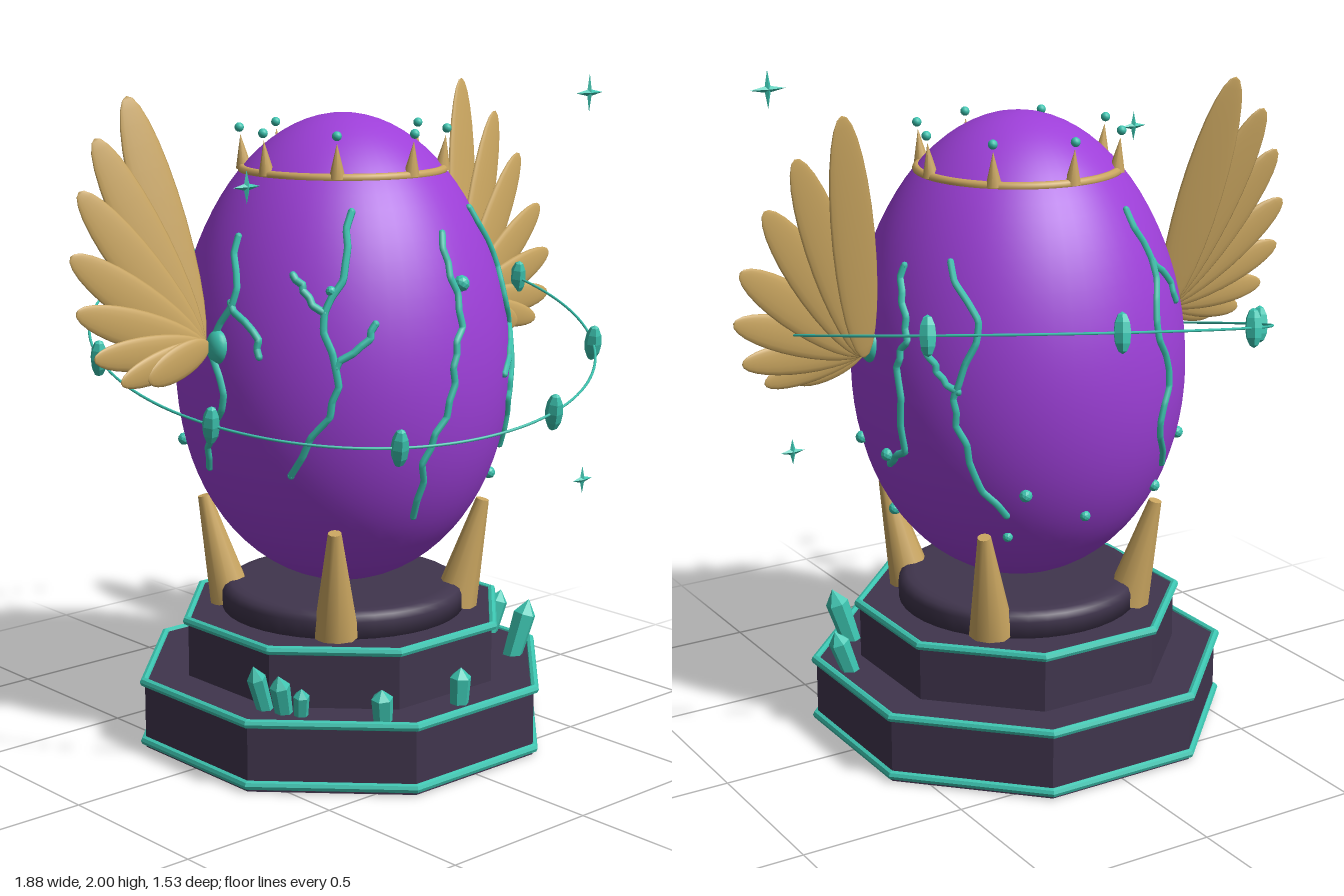
import * as THREE from 'three';

const mat = (name, color, extra = {}) => {
  const m = new THREE.MeshStandardMaterial({ color, ...extra });
  m.name = name;
  return m;
};

export function createModel() {
  const root = new THREE.Group();
  root.name = 'wingedEgg';
  const purple = mat('purple shell', 0x9d3fd8);
  const gold = mat('gold', 0xcaa660);
  const stone = mat('dark stone', 0x40354d, { flatShading: true });
  const smoothStone = mat('smooth stone', 0x40354d);
  const teal = mat('teal', 0x3cc4b0);
  const gem = mat('faceted teal', 0x3cc4b0, { flatShading: true });

  const add = (name, geo, material, parent = root) => {
    const m = new THREE.Mesh(geo, material);
    m.name = name;
    parent.add(m);
    return m;
  };
  const V = (x, y, z) => new THREE.Vector3(x, y, z);
  const UP = V(0, 1, 0);
  const rad = THREE.MathUtils.degToRad;
  // Stand a mesh at a point with its y axis along a direction
  const aim = (m, p, dir) => {
    m.position.copy(p);
    m.quaternion.setFromUnitVectors(UP, dir.clone().normalize());
    return m;
  };

  // Egg profile: radius at a height, and a surface point at azimuth (0 = front, 90 = +x)
  const MID = 1.185, HALF = 0.705;
  const ring = (c) => 0.5 * Math.sqrt(Math.max(0, 1 - c * c)) * (1 - 0.07 * c);
  const onEgg = (az, y, lift = 0) => {
    const r = ring((y - MID) / HALF) + lift;
    return V(Math.sin(rad(az)) * r, y, Math.cos(rad(az)) * r);
  };
  const profile = [];
  for (let i = 0; i <= 40; i++) {
    const c = -Math.cos((i / 40) * Math.PI);
    profile.push(new THREE.Vector2(ring(c), MID + HALF * c));
  }
  add('egg', new THREE.LatheGeometry(profile, 56), purple);

  // Octagonal plinth tiers with teal trim
  const K = 1 / Math.cos(Math.PI / 8);
  const tier = (name, apothem, y0, y1) => {
    const g = new THREE.CylinderGeometry(apothem * K, apothem * K, y1 - y0, 8).rotateY(Math.PI / 8);
    add(name, g, stone).position.y = (y0 + y1) / 2;
  };
  const trim = (apothem, y) => {
    const g = new THREE.TorusGeometry(apothem * K, 0.014, 8, 8).rotateX(Math.PI / 2).rotateY(Math.PI / 8);
    add('plinthTrim', g, gem).position.y = y;
  };
  tier('lowerTier', 0.582, 0, 0.21);
  tier('upperTier', 0.455, 0.2, 0.39);
  trim(0.584, 0.02);
  trim(0.584, 0.205);
  trim(0.458, 0.383);
  const disc = [[0, 0.38], [0.37, 0.38], [0.37, 0.44], [0.362, 0.458], [0.345, 0.468], [0.32, 0.47], [0, 0.47]];
  add('cushion', new THREE.LatheGeometry(disc.map((p) => new THREE.Vector2(...p)), 40), smoothStone);

  // Four claws on the diagonals
  for (const az of [45, 135, 225, 315]) {
    const s = Math.sin(rad(az)), c = Math.cos(rad(az));
    const a = V(s * 0.345, 0.4, c * 0.345), b = V(s * 0.425, 0.725, c * 0.425);
    const claw = add('claw', new THREE.CylinderGeometry(0.02, 0.068, a.distanceTo(b), 10), gold);
    aim(claw, a.clone().lerp(b, 0.5), b.clone().sub(a));
  }

  // Crown with spikes and beads
  add('crownBand', new THREE.TorusGeometry(0.296, 0.014, 10, 56).rotateX(Math.PI / 2), gold).position.y = 1.725;
  for (let i = 0; i < 8; i++) {
    const a = (i * Math.PI) / 4, s = Math.sin(a), c = Math.cos(a);
    const spike = add('crownSpike', new THREE.ConeGeometry(0.024, 0.1, 8), gold);
    aim(spike, V(s * 0.298, 1.775, c * 0.298), V(s * 0.1, 1, c * 0.1));
    add('crownBead', new THREE.SphereGeometry(0.014, 10, 8), teal).position.set(s * 0.306, 1.845, c * 0.306);
  }

  // Cracks: [azimuth, height] paths, each with side branches
  const cracks = [
    [[2, 1.57], [0, 1.45], [2, 1.31], [-3.5, 1.2], [-6, 1.06], [-14, 0.93], [-13, 0.76]],
    [[34, 1.62], [43, 1.48], [41, 1.35], [49, 1.26], [41, 1.13], [36, 1.05], [43, 0.9]],
    [[49, 1.26], [36, 1.2], [28, 1.14]],
    [[-38, 1.64], [-41, 1.5], [-48, 1.37], [-44, 1.21], [-46, 1.08], [-60, 0.9]],
    [[-44, 1.22], [-36, 1.28], [-31, 1.34]],
    [[-48, 1.37], [-56, 1.43], [-60, 1.47]],
    [[101, 1.5], [104, 1.4], [109, 1.3], [105, 1.22], [107, 0.97], [97, 0.91]],
    [[122, 1.53], [135, 1.38], [129, 1.2], [128, 1.08], [134, 0.92], [144, 0.8]],
    [[129, 1.18], [121, 1.23], [116, 1.29]],
    [[205, 1.64], [209, 1.5], [203, 1.33], [208, 1.18], [204, 1.03], [213, 0.88]],
    [[209, 1.5], [217, 1.44], [221, 1.36]],
    [[272, 1.56], [278, 1.42], [270, 1.27], [276, 1.12], [268, 0.98], [262, 0.88]],
    [[276, 1.38], [287, 1.31], [290, 1.24]],
  ];
  for (const path of cracks) {
    const pts = [];
    path.forEach(([az, y], i) => {
      const next = path[i + 1];
      for (let k = 0; k < (next ? 3 : 1); k++) {
        const t = k / 3, jog = k === 1 ? 1.5 * (i % 2 ? 1 : -1) : 0;
        const [az2, y2] = next || [az, y];
        pts.push(onEgg(az + (az2 - az) * t + jog, y + (y2 - y) * t, 0.003));
      }
    });
    const curve = new THREE.CatmullRomCurve3(pts, false, 'catmullrom', 0.15);
    add('crack', new THREE.TubeGeometry(curve, pts.length * 4, 0.011, 6), teal);
    add('crackEnd', new THREE.SphereGeometry(0.011, 6, 5), teal).position.copy(pts[0]);
    add('crackEnd', new THREE.SphereGeometry(0.011, 6, 5), teal).position.copy(pts[pts.length - 1]);
  }

  // Small studs set in the shell
  const studs = [[5, 1.43, 0.024], [-46, 1.43, 0.015], [44, 0.81, 0.019], [75, 0.94, 0.019], [97, 0.94, 0.02],
    [73, 0.7, 0.019], [151, 0.87, 0.019], [144, 0.72, 0.015], [215, 0.8, 0.018], [235, 0.92, 0.019], [175, 0.78, 0.016]];
  for (const [az, y, r] of studs)
    add('stud', new THREE.IcosahedronGeometry(r, 1), gem).position.copy(onEgg(az, y, 0.004));

  // Tilted orbit with nine hanging gems
  const orbitY = (x, z) => 1.235 + 0.118 * x - 0.22 * z;
  const loop = [];
  for (let i = 0; i < 72; i++) {
    const a = rad(i * 5), x = Math.cos(a) * 0.757, z = Math.sin(a) * 0.752;
    loop.push(V(x, orbitY(x, z), z));
  }
  add('orbitRing', new THREE.TubeGeometry(new THREE.CatmullRomCurve3(loop, true), 144, 0.004, 6, true), teal);
  for (let i = 0; i < 9; i++) {
    const p = loop[i * 8];
    const g = new THREE.SphereGeometry(1, 6, 6).scale(0.026, 0.057, 0.026);
    aim(add('orbitGem', g, gem), p, V(-0.118, 1, 0.22));
  }

  // Wings: fans of flattened feathers, [tip x, tip y, half width]
  const feathers = [[0.66, 1.96, 0.075], [0.79, 1.85, 0.07], [0.87, 1.71, 0.066], [0.93, 1.54, 0.062],
    [0.94, 1.39, 0.056], [0.905, 1.26, 0.05], [0.83, 1.185, 0.045], [0.74, 1.18, 0.05]];
  for (const s of [1, -1]) {
    const wing = new THREE.Group();
    wing.name = s > 0 ? 'leftWing' : 'rightWing';
    wing.position.set(s * 0.53, 1.25, -0.015);
    wing.rotation.x = -0.2;
    root.add(wing);
    feathers.forEach(([x, y, w], i) => {
      const dx = x - 0.53, dy = (y - 1.25) * 1.02, len = Math.hypot(dx, dy) + 0.02;
      const g = new THREE.SphereGeometry(1, 16, 14).scale(w, len / 2, 0.012).translate(0, len / 2 - 0.02, 0);
      g.rotateY(s * 0.2);
      const f = add('feather', g, gold, wing);
      f.rotation.z = -s * Math.atan2(dx, dy);
      f.position.z = i * 0.004 - 0.01;
    });
    add('wingGem', new THREE.SphereGeometry(1, 16, 12).scale(0.03, 0.05, 0.042), teal).position.set(s * 0.49, 1.25, 0.015);
  }

  // Pointed hexagonal crystals on the lower tier: [x, z, lean x, lean z, height, radius]
  const crystals = [[0.53, 0.11, 0.35, 0.05, 0.15, 0.032], [0.42, 0.32, 0.3, 0.1, 0.19, 0.036], [-0.02, 0.53, 0, 0.05, 0.12, 0.032],
    [-0.285, 0.49, -0.15, 0.1, 0.11, 0.032], [-0.47, 0.19, -0.35, 0.05, 0.16, 0.028], [-0.45, 0.25, -0.3, 0.15, 0.14, 0.03],
    [-0.43, 0.3, -0.15, 0.2, 0.1, 0.024]];
  for (const [x, z, lx, lz, h, r] of crystals) {
    const pts = [[0, 0], [r * 0.85, 0], [r, h * 0.75], [0, h]].map((p) => new THREE.Vector2(...p));
    aim(add('crystal', new THREE.LatheGeometry(pts, 6), gem), V(x, 0.2, z), V(lx, 1, lz));
  }

  // Floating four-pointed sparkles
  for (const [x, y, z, r] of [[0.59, 1.942, 0.437, 0.058], [-0.63, 1.74, 0.32, 0.046], [0.51, 0.79, 0.515, 0.042]])
    for (const turn of [0, Math.PI / 2]) {
      const g = new THREE.OctahedronGeometry(1).scale(0.011, r, 0.009).rotateZ(turn);
      add('sparkle', g, gem).position.set(x, y, z);
    }

  return root;
}
